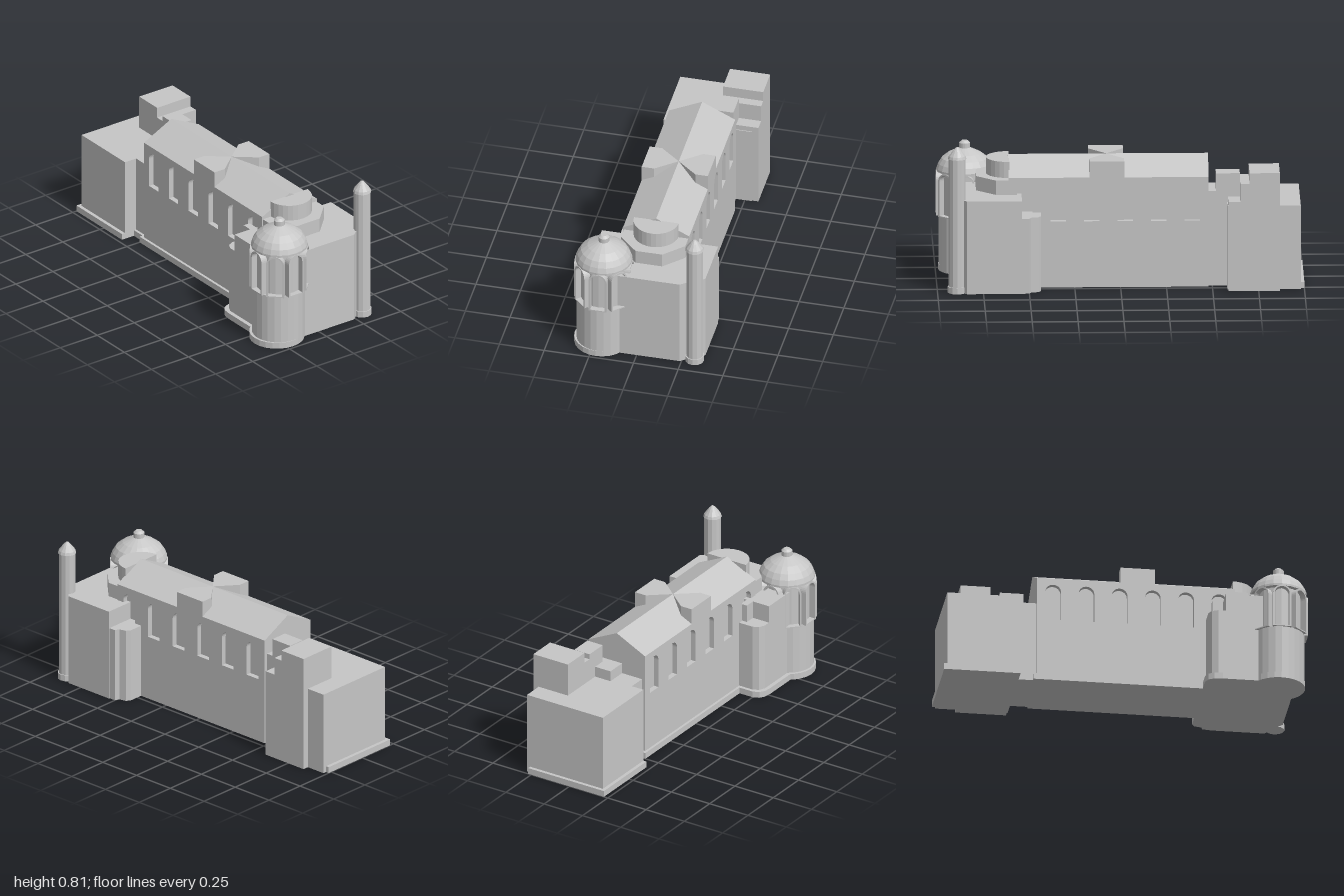
import * as THREE from 'three';

export function createModel() {
  const model = new THREE.Group();
  const stone = new THREE.MeshStandardMaterial({ color: 0xc6c6c6, flatShading: true });
  stone.name = 'pale grey stone';

  const add = (name, geometry, parent = model) => {
    const mesh = new THREE.Mesh(geometry, stone);
    mesh.name = name;
    parent.add(mesh);
    return mesh;
  };
  // Box given by its limits
  const block = (name, x0, x1, y0, y1, z0, z1) => {
    const g = new THREE.BoxGeometry(x1 - x0, y1 - y0, z1 - z0);
    g.translate((x0 + x1) / 2, (y0 + y1) / 2, (z0 + z1) / 2);
    return add(name, g);
  };
  // Plan outline of [x, z] points raised from y0 to y1
  const plan = (name, points, y0, y1) => {
    const shape = new THREE.Shape(points.map(([x, z]) => new THREE.Vector2(x, -z)));
    const g = new THREE.ExtrudeGeometry(shape, { depth: y1 - y0, bevelEnabled: false });
    g.rotateX(-Math.PI / 2).translate(0, y0, 0);
    return add(name, g);
  };
  // Turned part from [radius, y] points
  const turned = (name, points, sides, x, z) => {
    const g = new THREE.LatheGeometry(points.map(([r, y]) => new THREE.Vector2(r, y)), sides);
    return add(name, g.translate(x, 0, z));
  };
  // Round-headed outline, used for windows and frames
  const arch = (Type, cx, y0, y1, width) => {
    const r = width / 2;
    const s = new Type();
    s.moveTo(cx - r, y0);
    s.lineTo(cx + r, y0);
    s.lineTo(cx + r, y1 - r);
    s.absarc(cx, y1 - r, r, 0, Math.PI, false);
    s.lineTo(cx - r, y0);
    return s;
  };

  // Nave: core plus front and back walls with recessed arched windows
  const x0 = -0.48, x1 = 0.61, eave = 0.615, ridge = 0.705;
  block('naveCore', x0, x1, 0, eave, -0.19, 0.12);
  const wall = new THREE.Shape([
    new THREE.Vector2(x0, 0), new THREE.Vector2(x1, 0),
    new THREE.Vector2(x1, eave), new THREE.Vector2(x0, eave),
  ]);
  for (let i = 0; i < 6; i++) {
    wall.holes.push(arch(THREE.Path, -0.39 + i * 0.1825, 0.37, 0.578, 0.086));
  }
  const wallGeometry = new THREE.ExtrudeGeometry(wall, { depth: 0.03, bevelEnabled: false, curveSegments: 8 });
  add('naveFrontWall', wallGeometry).position.z = 0.12;
  add('naveBackWall', wallGeometry).position.z = -0.22;
  block('navePlinth', -0.5, 0.45, 0, 0.035, 0.1, 0.165);

  // Gabled roof running along x
  const gable = new THREE.Shape([
    new THREE.Vector2(-0.15, eave), new THREE.Vector2(0.22, eave), new THREE.Vector2(0.035, ridge),
  ]);
  const roof = new THREE.ExtrudeGeometry(gable, { depth: x1 - x0, bevelEnabled: false });
  add('naveRoof', roof.rotateY(Math.PI / 2).translate(x0, 0, 0));

  // Flat-topped dormers narrowing to the ridge
  for (const s of [1, -1]) {
    const z = (d) => -0.035 + s * d;
    plan(s > 0 ? 'frontDormer' : 'backDormer',
      [[-0.02, z(0.185)], [0.17, z(0.185)], [0.17, z(0.115)], [0.075, z(0)], [-0.02, z(0.115)]],
      0.6, ridge);
  }

  // Entrance block at the far end with its stepped tower
  block('entrancePlinth', -1, -0.58, 0, 0.035, -0.27, 0.225);
  block('entranceBlock', -0.98, -0.58, 0, 0.47, -0.29, 0.205);
  block('connector', -0.58, -0.48, 0, 0.47, -0.2, 0.13);
  block('connectorPlinth', -0.59, -0.48, 0, 0.035, 0, 0.145);
  block('stairTower', -0.865, -0.7, 0, 0.66, -0.325, -0.1);
  block('stairTowerStep', -0.7, -0.65, 0, 0.6, -0.325, -0.1);
  block('stairTurret', -0.65, -0.585, 0, 0.5, -0.325, -0.2);
  block('upperStep', -0.65, -0.52, 0.4, 0.63, -0.2, -0.1);
  block('lowerStep', -0.595, -0.48, 0, 0.53, -0.2, 0);

  // Transept with softened corners
  plan('transeptPlinth', [[0.43, 0.1], [0.43, 0.25], [0.445, 0.285], [0.475, 0.303],
    [0.52, 0.308], [0.75, 0.308], [0.75, 0.1]], 0, 0.035);
  plan('transeptLowerBody', [[0.45, 0.235], [0.465, 0.268], [0.5, 0.285], [0.8, 0.285],
    [0.8, -0.36], [0.5, -0.36], [0.49, -0.335], [0.45, -0.325], [0.435, -0.3], [0.435, -0.2], [0.45, -0.2]], 0, 0.42);
  plan('transeptUpperBody', [[0.54, 0.285], [0.8, 0.285], [0.925, 0.16], [0.925, -0.24],
    [0.905, -0.265], [0.86, -0.34], [0.84, -0.365], [0.54, -0.365]], 0, 0.52);
  block('frontCornerPier', 0.48, 0.56, 0.4, 0.52, 0.14, 0.18);

  // Apse: faceted base under a half-round drum
  plan('apseBase', [[0.6, -0.215], [0.68, -0.215], [0.785, -0.11], [0.785, 0.04],
    [0.68, 0.145], [0.6, 0.145]], 0.5, 0.6);
  const drum = [];
  for (let i = 0; i <= 14; i++) {
    const a = (i / 14 - 0.5) * Math.PI;
    drum.push([0.605 + 0.125 * Math.cos(a), -0.035 + 0.125 * Math.sin(a)]);
  }
  plan('apseDrum', drum, 0.59, 0.69);

  // Domed corner tower
  const tx = 0.84, tz = 0.203;
  turned('cornerTowerPlinth', [[0, 0], [0.15, 0], [0.15, 0.035], [0.13, 0.035]], 24, tx - 0.005, 0.217);
  turned('cornerTowerShaft', [[0, 0], [0.143, 0], [0.143, 0.315], [0, 0.315]], 24, tx, 0.21);
  turned('lanternCore', [[0.128, 0.31], [0.128, 0.565]], 24, tx, tz);
  turned('dome', [[0, 0.558], [0.155, 0.558], [0.155, 0.57], [0.145, 0.598], [0.126, 0.628],
    [0.09, 0.656], [0.03, 0.685], [0.03, 0.712], [0.017, 0.724], [0, 0.724]], 20, tx, tz);

  // Eight arched frames around the tower
  const frame = arch(THREE.Shape, 0, 0.314, 0.56, 0.1);
  frame.holes.push(arch(THREE.Path, 0, 0.32, 0.552, 0.08));
  const frameGeometry = new THREE.ExtrudeGeometry(frame, { depth: 0.045, bevelEnabled: false, curveSegments: 8 });
  frameGeometry.translate(0, 0, 0.112);
  for (let i = 0; i < 8; i++) {
    const f = add('towerWindowFrame', frameGeometry);
    f.position.set(tx, 0, tz);
    f.rotation.y = (i * Math.PI) / 4;
  }

  // Slender back turret
  turned('slenderTurret', [[0, 0], [0.052, 0], [0.052, 0.035], [0.046, 0.035], [0.046, 0.75], [0.051, 0.75],
    [0.046, 0.765], [0.022, 0.797], [0.008, 0.812], [0, 0.814]], 12, 0.893, -0.317);

  return model;
}
